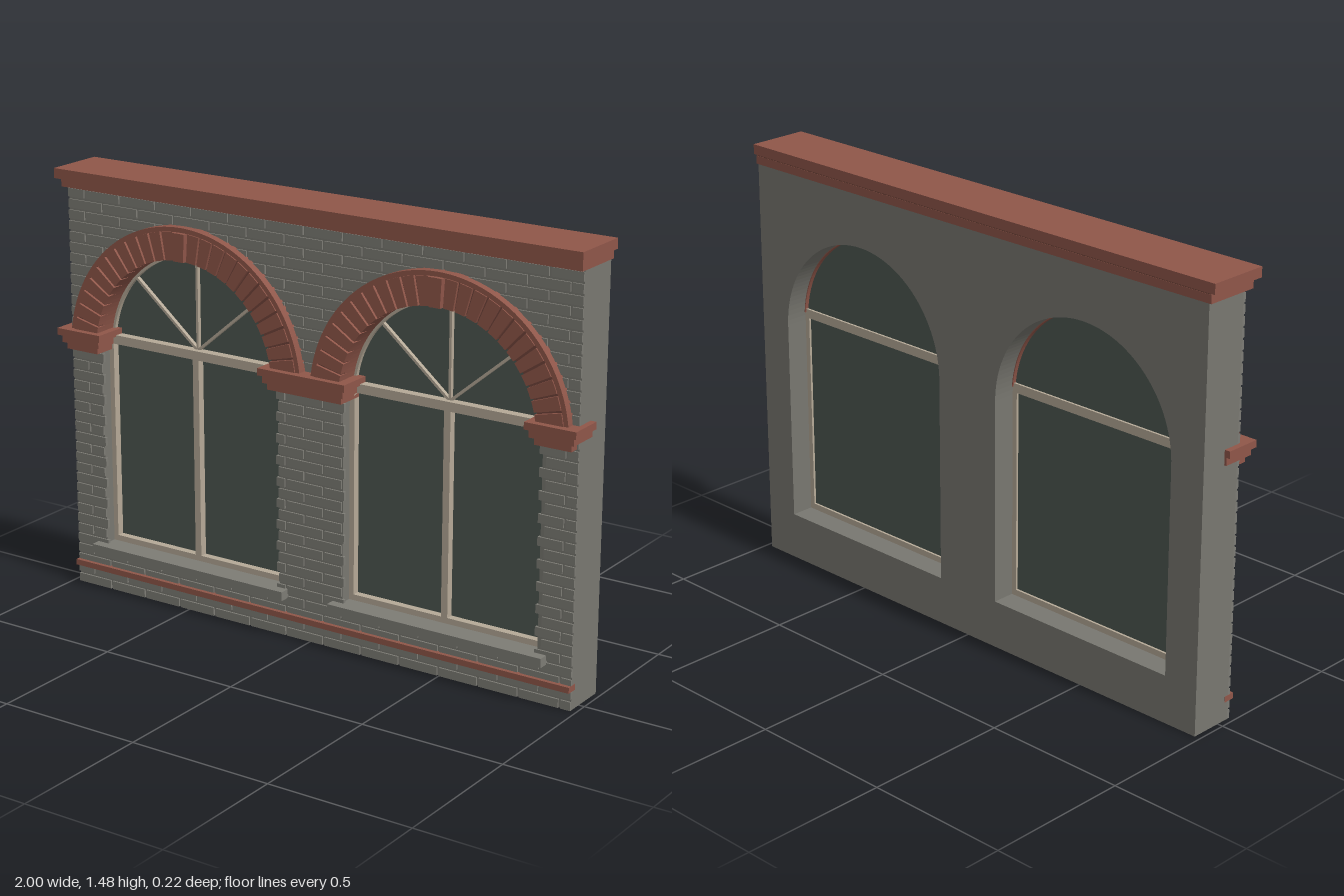
import * as THREE from 'three';
import { mergeGeometries } from 'three/addons/utils/BufferGeometryUtils.js';

const mat = (name, color) => {
  const m = new THREE.MeshStandardMaterial({ color });
  m.name = name;
  return m;
};

// Opening: half width / arch radius, sill height, springing height, centre offset
const R = 0.365, SILL = 0.165, SPRING = 0.87, CX = 0.49, FRONT = 0.05, BACK = -0.11;

// Box from its limits
function box(x0, x1, y0, y1, z0, z1) {
  return new THREE.BoxGeometry(x1 - x0, y1 - y0, z1 - z0)
    .translate((x0 + x1) / 2, (y0 + y1) / 2, (z0 + z1) / 2);
}

// Extrusion between two depths
function slab(shape, z0, z1, curveSegments = 32) {
  return new THREE.ExtrudeGeometry(shape, { depth: z1 - z0, bevelEnabled: false, curveSegments })
    .translate(0, 0, z0);
}

// Round-headed outline
function archOutline(target, cx, r, bottom) {
  target.moveTo(cx - r, bottom);
  target.lineTo(cx + r, bottom);
  target.lineTo(cx + r, SPRING);
  target.absarc(cx, SPRING, r, 0, Math.PI, false);
  target.lineTo(cx - r, bottom);
  return target;
}

// Piece of a ring around the arch centre
function ringSector(r0, r1, a0, a1) {
  const s = new THREE.Shape();
  s.absarc(0, SPRING, r1, a0, a1, false);
  s.absarc(0, SPRING, r0, a1, a0, true);
  s.closePath();
  return s;
}

// Running-bond bricks cut around the openings
function brickFacing() {
  const parts = [], courses = 38, h = 1.415 / courses, gap = 0.008, pitch = 0.148;
  for (let i = 0; i < courses; i++) {
    const y0 = i * h, y1 = y0 + h - gap;
    let half = 0;
    if (y1 > SILL - 0.02 && y0 < SPRING) half = i % 2 ? R : R - 0.008;
    if (y1 < SILL + 0.005) half = 0;
    if (y0 >= SPRING - h) {
      const dy = Math.max(0, y0 - SPRING);
      half = dy < 0.44 ? Math.sqrt(0.44 ** 2 - dy ** 2) : 0;
    }
    const spans = half
      ? [[-0.98, -CX - half], [-CX + half, CX - half], [CX + half, 0.98]]
      : [[-0.98, 0.98]];
    for (const [a, b] of spans) {
      for (let x = -0.98 - (i % 2 ? pitch / 2 : 0); x < b; x += pitch) {
        const x0 = Math.max(a, x), x1 = Math.min(b, x + pitch - gap);
        if (x1 - x0 > 0.008) parts.push(box(x0, x1, y0, y1, FRONT - 0.005, FRONT + 0.006));
      }
    }
  }
  return mergeGeometries(parts);
}

export function createModel() {
  const wallGrey = mat('wall grey', 0x787770);
  const brickGrey = mat('brick grey', 0x7d7c75);
  const red = mat('brick red', 0x8f5649);
  const jointRed = mat('dark joint red', 0x71443a);
  const cream = mat('cream frame', 0xb5a997);
  const glass = mat('dark green glass', 0x4d5751);

  const model = new THREE.Group();
  model.name = 'archedWindowWall';
  const add = (parent, name, geometry, material) => {
    const m = new THREE.Mesh(geometry, material);
    m.name = name;
    parent.add(m);
    return m;
  };

  // Wall with two round-headed openings
  const face = new THREE.Shape();
  face.moveTo(-0.98, 0);
  face.lineTo(0.98, 0);
  face.lineTo(0.98, 1.42);
  face.lineTo(-0.98, 1.42);
  face.closePath();
  for (const s of [-1, 1]) face.holes.push(archOutline(new THREE.Path(), s * CX, R, SILL));
  add(model, 'wall', slab(face, BACK, FRONT), wallGrey);
  add(model, 'brickFacing', brickFacing(), brickGrey);

  // Cornice and base band
  add(model, 'corniceLower', box(-0.988, 0.988, 1.415, 1.443, BACK - 0.001, 0.08), red);
  add(model, 'corniceUpper', box(-1, 1, 1.446, 1.48, BACK - 0.001, 0.102), red);
  add(model, 'corniceJoint', box(-0.985, 0.985, 1.44, 1.45, BACK, 0.075), jointRed);
  add(model, 'baseBand', box(-0.981, 0.981, 0.064, 0.084, 0.03, 0.07), red);

  // Stepped imposts on the three piers
  const steps = [[0.857, 0.88, 0.025, 0.09], [0.88, 0.906, 0.012, 0.1], [0.906, 0.93, 0, 0.11]];
  for (const [x0, x1] of [[-1, -0.82], [-0.168, 0.168], [0.82, 1]]) {
    for (const [y0, y1, inset, z] of steps) {
      add(model, 'impost', box(x0 + inset, x1 - inset, y0, y1, -0.015, z), red);
    }
  }

  // Windows and their arches
  for (const s of [-1, 1]) {
    const win = new THREE.Group();
    win.name = s < 0 ? 'rightWindow' : 'leftWindow';
    win.position.x = s * CX;
    model.add(win);

    add(win, 'glass', slab(archOutline(new THREE.Shape(), 0, R - 0.004, SILL + 0.002), -0.022, -0.014), glass);
    add(win, 'sill', box(-0.4, 0.4, 0.135, 0.166, 0.0, 0.09), brickGrey);

    // Frame, transom, mullion
    const fz0 = -0.03, fz1 = 0.012;
    for (const e of [-1, 1]) {
      const a = e * R, b = e * (R - 0.018);
      add(win, 'frameStile', box(Math.min(a, b), Math.max(a, b), SILL, 0.9, fz0, fz1), cream);
    }
    add(win, 'frameBottomRail', box(-R, R, SILL, 0.186, fz0, fz1), cream);
    add(win, 'transom', box(-R, R, 0.88, 0.911, fz0, fz1 + 0.006), cream);
    add(win, 'mullion', box(-0.012, 0.012, 0.18, 0.885, -0.014, fz1), cream);
    add(win, 'archFrame', slab(ringSector(R - 0.012, R, 0.05, Math.PI - 0.05), -0.014, 0.0), cream);

    // Fan bars
    for (const [deg, len] of [[40, 0.335], [90, 0.315], [140, 0.335]]) {
      const g = new THREE.BoxGeometry(len, 0.009, 0.014).translate(len / 2, 0, 0);
      const bar = add(win, 'fanBar', g, cream);
      bar.position.set(0, 0.908, -0.007);
      bar.rotation.z = THREE.MathUtils.degToRad(deg);
    }

    // Brick arch: soffit lining, recessed joints, wedge bricks, hood and keystone
    add(win, 'archSoffit', slab(ringSector(R - 0.003, R + 0.02, 0.08, Math.PI - 0.08), -0.035, 0.06), red);
    add(win, 'archJoints', slab(ringSector(R, 0.458, 0.05, Math.PI - 0.05), 0.04, 0.077), jointRed);
    const count = 27, step = Math.PI / count, wedges = [];
    for (let i = 0; i < count; i++) {
      if (i === (count - 1) / 2) continue;
      wedges.push(slab(ringSector(R - 0.004, 0.456, i * step + 0.009, (i + 1) * step - 0.009), 0.045, 0.087, 2));
    }
    add(win, 'archBricks', mergeGeometries(wedges), red);
    add(win, 'archHood', slab(ringSector(0.456, 0.472, 0.05, Math.PI - 0.05), 0.04, 0.083), red);
    const mid = Math.PI / 2;
    add(win, 'keystone', slab(ringSector(R - 0.004, 0.456, mid - 0.055, mid + 0.055), 0.045, 0.098, 2), red);
  }
  return model;
}
